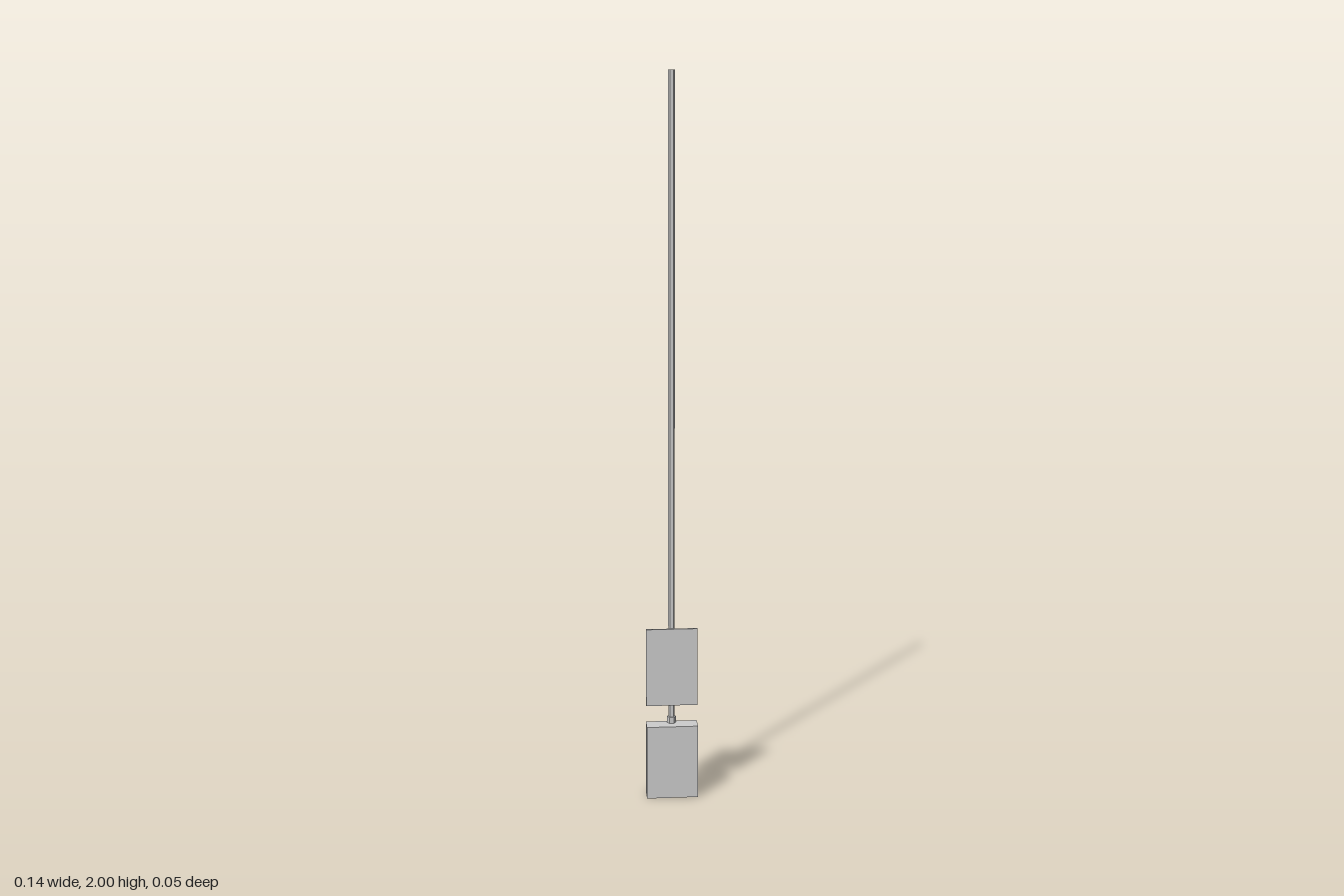
import * as THREE from 'three';

const material = new THREE.MeshStandardMaterial({ color: 0xcccccc, flatShading: true, side: THREE.DoubleSide });

function add(group, name, geometry, x, y, z) {
  const mesh = new THREE.Mesh(geometry, material);
  mesh.name = name;
  mesh.position.set(x, y, z);
  group.add(mesh);
  return mesh;
}

// Six-sided prism with corners pointing along x
function hexPrism(radius, height) {
  return new THREE.CylinderGeometry(radius, radius, height, 6).rotateY(Math.PI / 2);
}

// Thin-walled tray, open at the back
function tray(width, height, depth) {
  const group = new THREE.Group();
  add(group, 'frontPanel', new THREE.PlaneGeometry(width, height), 0, 0, depth / 2);
  for (const s of [1, -1]) {
    add(group, s > 0 ? 'leftWall' : 'rightWall',
      new THREE.PlaneGeometry(depth, height).rotateY(s * Math.PI / 2), s * width / 2, 0, 0);
    add(group, s > 0 ? 'topWall' : 'bottomWall',
      new THREE.PlaneGeometry(width, depth).rotateX(-s * Math.PI / 2), 0, s * height / 2, 0);
  }
  return group;
}

export function createModel() {
  const model = new THREE.Group();
  model.name = 'polePanels';
  const width = 0.144, poleZ = -0.0145, boxTop = 0.21;

  // Open-backed box at the foot
  const box = tray(width, boxTop, 0.048);
  box.name = 'lowerBox';
  box.position.y = boxTop / 2;
  model.add(box);

  // Flat plate in front of the pole
  add(model, 'upperPlate', new THREE.BoxGeometry(width, 0.222, 0.006), 0, 0.375, -0.003);

  // Long pole and the collar that seats it on the box
  add(model, 'pole', hexPrism(0.009, 2 - boxTop), 0, (2 + boxTop) / 2, poleZ);
  add(model, 'collar', hexPrism(0.0125, 0.018), 0, boxTop + 0.009, poleZ + 0.001);

  return model;
}
